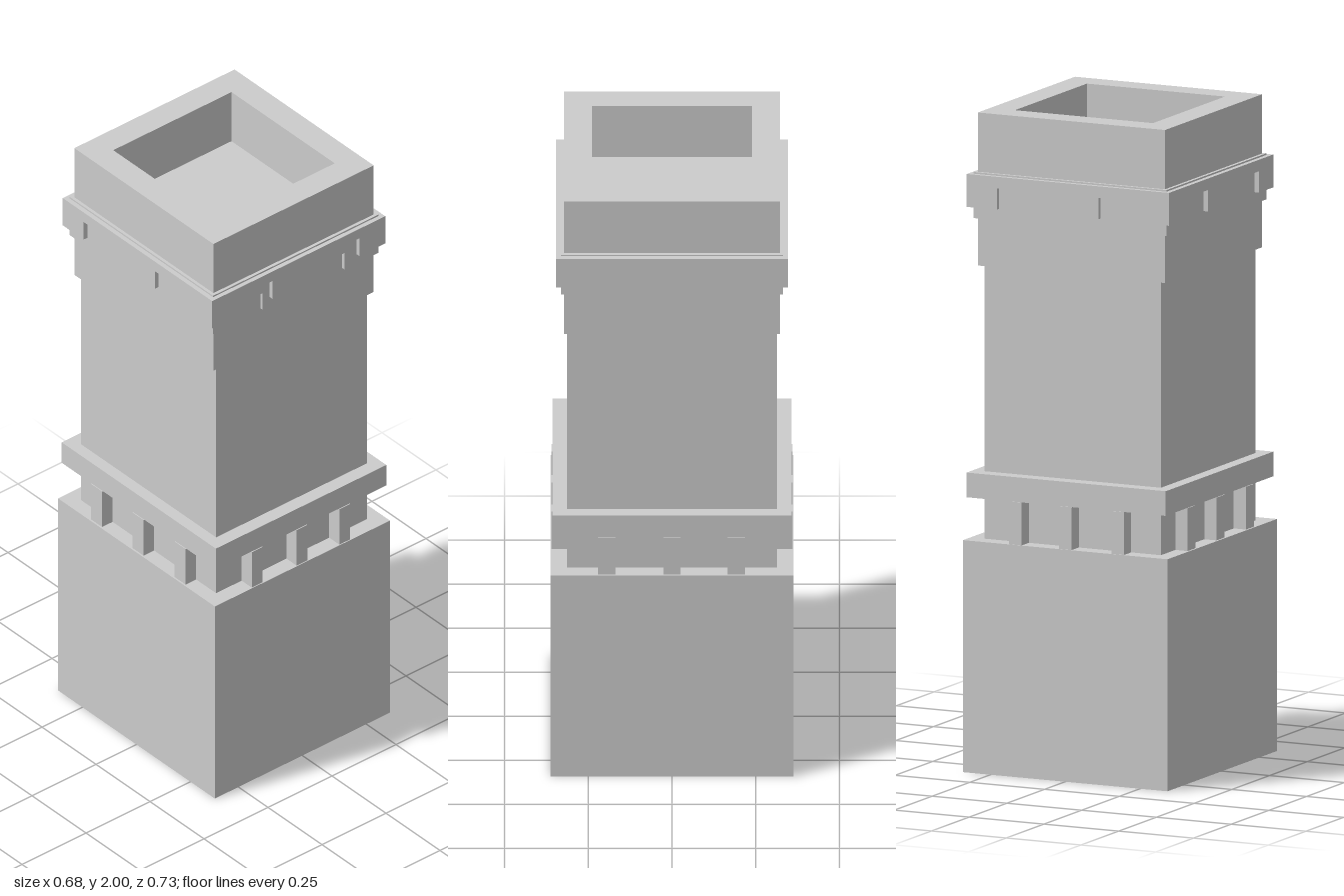
import * as THREE from 'three';

const material = new THREE.MeshStandardMaterial({ color: 0xcccccc, flatShading: true });

export function createModel() {
  const tower = new THREE.Group();
  tower.name = 'tower';

  function add(name, geometry) {
    const mesh = new THREE.Mesh(geometry, material);
    mesh.name = name;
    tower.add(mesh);
    return mesh;
  }

  // Box given by half sizes in x and z and its bottom and top heights
  function block(name, hx, hz, y0, y1, x = 0, z = 0) {
    const mesh = add(name, new THREE.BoxGeometry(hx * 2, y1 - y0, hz * 2));
    mesh.position.set(x, (y0 + y1) / 2, z);
    return mesh;
  }

  // Flat panel whose bottom edge is cut by rectangular notches [left, right]
  function notchedPanel(name, half, y0, y1, notchTop, notches, depth) {
    const shape = new THREE.Shape();
    shape.moveTo(-half, y0);
    for (const [a, b] of notches) {
      shape.lineTo(a, y0);
      shape.lineTo(a, notchTop);
      shape.lineTo(b, notchTop);
      shape.lineTo(b, y0);
    }
    shape.lineTo(half, y0);
    shape.lineTo(half, y1);
    shape.lineTo(-half, y1);
    return add(name, new THREE.ExtrudeGeometry(shape, { depth, bevelEnabled: false }));
  }

  // Plinth, recessed core, ledge and shaft
  block('base', 0.342, 0.363, 0, 0.705);
  block('arcadeCore', 0.295, 0.313, 0.705, 0.835);
  block('ledge', 0.333, 0.357, 0.835, 0.91);
  block('shaft', 0.295, 0.313, 0.91, 1.535);

  // Three small pillars on each side under the ledge
  for (const side of [-1, 1]) {
    for (const x of [-0.174, 0.001, 0.168])
      block('pillar', 0.021, 0.0235, 0.705, 0.835, x, side * 0.3365);
    for (const z of [-0.192, 0, 0.195])
      block('sidePillar', 0.0205, 0.026, 0.705, 0.835, side * 0.3155, z);
  }

  // Collar with a slightly wider inner band
  block('collar', 0.313, 0.322, 1.535, 1.82);
  block('innerBand', 0.323, 0.327, 1.68, 1.82, 0, -0.005);
  notchedPanel('innerBandFront', 0.323, 1.68, 1.82, 1.74,
    [[-0.203, -0.13], [0.13, 0.19]], 0.01).position.z = 0.322;

  // Outer notched band on all four sides
  const frontNotches = [[-0.248, -0.103], [0.105, 0.237]];
  const sideNotches = [[-0.252, -0.08], [0.088, 0.25]];
  const front = notchedPanel('outerBandFront', 0.338, 1.715, 1.815, 1.78, frontNotches, 0.014);
  front.position.z = 0.332;
  const back = notchedPanel('outerBandBack', 0.338, 1.715, 1.815, 1.78, frontNotches, 0.014);
  back.position.z = -0.346;
  for (const side of [-1, 1]) {
    const panel = notchedPanel('outerBandSide', 0.332, 1.715, 1.815, 1.78, sideNotches, 0.015);
    panel.rotation.y = Math.PI / 2;
    panel.position.x = side > 0 ? 0.323 : -0.338;
  }

  // Hollow square rim at the top
  const rim = new THREE.Shape([
    new THREE.Vector2(-0.313, -0.322), new THREE.Vector2(0.313, -0.322),
    new THREE.Vector2(0.313, 0.322), new THREE.Vector2(-0.313, 0.322),
  ]);
  rim.holes.push(new THREE.Path([
    new THREE.Vector2(-0.231, -0.239), new THREE.Vector2(-0.231, 0.239),
    new THREE.Vector2(0.231, 0.239), new THREE.Vector2(0.231, -0.239),
  ]));
  const top = add('topRim', new THREE.ExtrudeGeometry(rim, { depth: 0.18, bevelEnabled: false }));
  top.rotation.x = -Math.PI / 2;
  top.position.y = 1.82;

  return tower;
}
